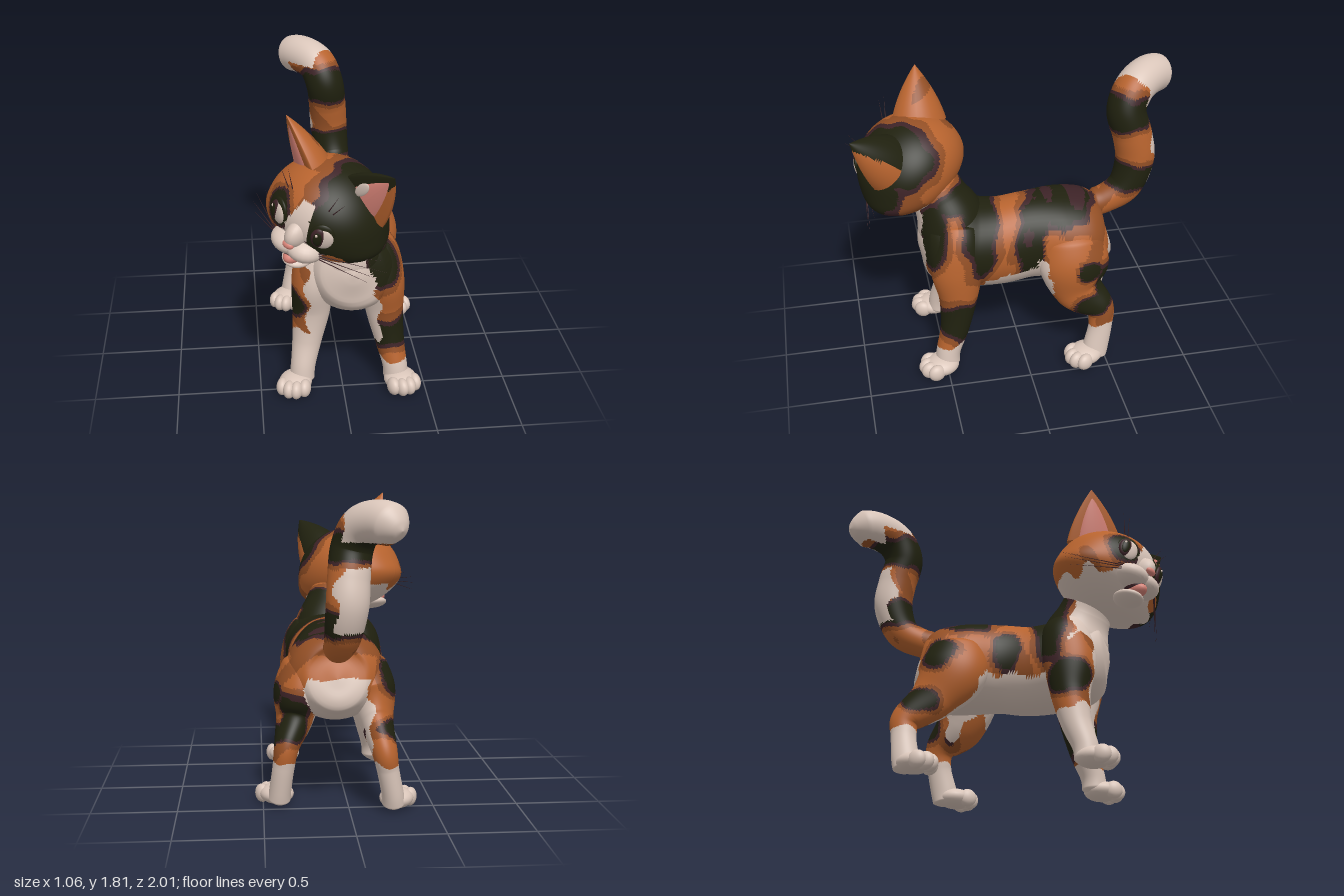
import * as THREE from 'three';

const V = (x, y, z) => new THREE.Vector3(x, y, z);
const mat = (name, color) => Object.assign(new THREE.MeshStandardMaterial({ color }), { name });

// Radius-style distance to the nearest ellipsoid patch [x, y, z, rx, ry, rz]
const patchField = (list, p) => Math.min(...list.map(([x, y, z, a, b, c]) =>
  Math.hypot((p.x - x) / a, (p.y - y) / b, (p.z - z) / c)));
const wobble = p => 0.02 * Math.sin(27 * p.y + 15 * p.z) + 0.015 * Math.sin(37 * p.z + 23 * p.x);

// Colour indices
const WHITE = 0, ORANGE = 1, RUST = 2, BLACK = 3, BROWN = 4;
const fur = (d, p) => {
  if (d < 1) return BLACK;
  if (d < 1.2) return BROWN;
  if (d < 1.48) return RUST;
  return Math.sin(11 * p.x + 9 * p.y) * Math.sin(13 * p.z + 5 * p.y) > 0.7 ? RUST : ORANGE;
};

// Dark patches on body, legs and tail, and brown marks inside them
const bodyPatches = [
  [0.23, 0.92, 0.56, 0.12, 0.2, 0.09], [0.1, 0.99, 0.27, 0.6, 0.29, 0.1], [0.1, 1.12, 0.38, 0.2, 0.07, 0.13],
  [0.29, 0.82, -0.03, 0.14, 0.19, 0.075], [0.07, 1.05, -0.27, 0.3, 0.15, 0.18],
  [0.2, 0.98, -0.08, 0.15, 0.1, 0.08], [0.42, 0.68, -0.38, 0.1, 0.06, 0.065],
  [0.4, 0.42, -0.4, 0.12, 0.07, 0.09], [0.34, 0.53, -0.5, 0.13, 0.13, 0.07],
  [0.3, 0.37, 0.42, 0.16, 0.13, 0.13], [-0.28, 0.57, 0.38, 0.1, 0.09, 0.13],
  [-0.26, 0.76, -0.4, 0.12, 0.09, 0.1], [-0.24, 0.46, -0.5, 0.12, 0.07, 0.1],
  [-0.17, 0.8, 0, 0.1, 0.12, 0.07], [0.05, 1.14, -0.7, 0.2, 0.08, 0.2],
  [0, 1.55, -0.68, 0.2, 0.1, 0.2],
];
const brownMarks = [[0.04, 1.02, -0.36, 0.19, 0.1, 0.06], [0.05, 1.06, -0.18, 0.12, 0.08, 0.035],
  [0.32, 0.9, -0.02, 0.06, 0.06, 0.03]];
function coat(p) {
  const { x, y, z } = p, w = wobble(p);
  const sock = z > 0 ? (x > 0 ? 0.2 : 0.38) : 0.28;
  const white = y + w < sock
    || (y + w < 0.64 && z > -0.16 && z < 0.24)
    || (y + 2 * w < 0.7 && x > 0.15 && x < 0.37 && z > -0.17 && z < -0.08)
    || (y + w < 0.6 && x > -0.19 && x < 0.2 && z > -0.45)
    || (z + w > 0.44 && x + w > -0.2 && x + w < 0.12 + Math.min(0.09, Math.max(0, 1 - y) * 0.25))
    || (x < 0 && y + w > 0.83 && z + w > 0.4 && z < 0.7)
    || (z < -0.3 && x + w > -0.12 && x + w < 0.23 && y + w < 0.78)
    || (z + w + 1.2 * x < -0.72 && y > (z < -0.77 ? 1.58 : 1.67))
    || (z + w + 0.6 * x < -0.77 && y > 1.08 && y < 1.44);
  if (white) return WHITE;
  const d = patchField(bodyPatches, p) + w * 5;
  return d < 1 && patchField(brownMarks, p) + w * 5 < 1 ? BROWN : fur(d, p);
}

// Patches on the head, in head space
const headPatches = [
  [0.25, 0.05, 0.14, 0.24, 0.26, 0.26], [0.19, 0.2, -0.02, 0.19, 0.2, 0.29],
  [-0.16, 0.04, 0.26, 0.09, 0.1, 0.1],
];
const cheekPatch = [[0.2, -0.12, 0.22, 0.07, 0.04, 0.1]];
function faceCoat(p) {
  const { x, y, z } = p, w = wobble(p), ax = Math.abs(x);
  const white = y + w < -0.17
    || (y + w < -0.04 && z > 0.1 && ax + w < 0.16)
    || (ax + w < 0.06 && z > 0.1 && y < 0.17);
  if (white) return WHITE;
  return patchField(cheekPatch, p) < 1 ? ORANGE : fur(patchField(headPatches, p) + w * 4, p);
}

// Sort triangles into one group per colour
function paint(geo, rule) {
  const idx = geo.index.array, pos = geo.attributes.position, buckets = [];
  const a = V(), b = V(), c = V();
  for (let i = 0; i < idx.length; i += 3) {
    [a, b, c].forEach((v, k) => v.fromBufferAttribute(pos, idx[i + k]));
    (buckets[rule(a.add(b).add(c).divideScalar(3))] ??= []).push(idx[i], idx[i + 1], idx[i + 2]);
  }
  geo.clearGroups();
  const all = [];
  buckets.forEach((list, m) => {
    geo.addGroup(all.length, list.length, m);
    for (const i of list) all.push(i);
  });
  geo.setIndex(all);
  return geo;
}

// Smooth rounded tube through stations [x, y, z, half width, half depth]
function loft(stations, ref, rings = 100, sides = 56) {
  const path = new THREE.CatmullRomCurve3(stations.map(s => V(s[0], s[1], s[2])), false, 'catmullrom');
  const size = new THREE.CatmullRomCurve3(stations.map(s => V(s[3], s[4], 0)), false, 'catmullrom');
  const pos = [], index = [];
  for (let i = 0; i <= rings; i++) {
    const t = i / rings, c = path.getPoint(t), r = size.getPoint(t), tan = path.getTangent(t);
    const side = ref.clone().cross(tan).normalize(), up = tan.clone().cross(side);
    const cap = Math.sqrt(Math.min(1, t * 14, (1 - t) * 14));
    for (let j = 0; j < sides; j++) {
      const q = j / sides * Math.PI * 2;
      const v = c.clone().addScaledVector(side, Math.cos(q) * r.x * cap).addScaledVector(up, Math.sin(q) * r.y * cap);
      pos.push(v.x, v.y, v.z);
      if (i === rings) continue;
      const k = i * sides, n = (j + 1) % sides;
      index.push(k + j, k + n, k + sides + j, k + n, k + sides + n, k + sides + j);
    }
  }
  const geo = new THREE.BufferGeometry();
  geo.setAttribute('position', new THREE.Float32BufferAttribute(pos, 3));
  geo.setIndex(index);
  geo.computeVertexNormals();
  return geo;
}

// Ear: a cone leaning outward, nearly flat in front, rounded behind, turned by yaw
function earGeometry(side, yaw, width, height, front, back) {
  const geo = new THREE.ConeGeometry(1, 1, 32, 28), pos = geo.attributes.position;
  const turn = new THREE.Matrix4().makeRotationY(yaw);
  for (let i = 0; i < pos.count; i++) {
    const t = pos.getY(i) + 0.5, bulge = 1 + 0.5 * t;
    const v = V(pos.getX(i) * width * bulge, 0, pos.getZ(i) * (pos.getZ(i) > 0 ? front : back) * bulge).applyMatrix4(turn);
    pos.setXYZ(i, side * (0.2 + 0.16 * t * height) + 0.87 * v.x,
      0.15 + 0.28 * t * height - 0.5 * side * v.x, v.z + 0.02 * t);
  }
  geo.computeVertexNormals();
  return geo;
}

export function createModel() {
  const model = new THREE.Group();
  model.name = 'cat';
  const white = mat('white fur', 0xdac6ba), orange = mat('orange fur', 0xb7632e), rust = mat('rust fur', 0x934f25);
  const black = mat('black fur', 0x20210f), brown = mat('dark brown', 0x3d2327), pink = mat('pink skin', 0xd98478);
  const furs = [white, orange, rust, black, brown];
  const add = (parent, name, geo, material) => {
    const m = new THREE.Mesh(geo, material);
    m.name = name;
    parent.add(m);
    return m;
  };
  const ball = (parent, name, material, [x, y, z], [a, b, c]) => {
    const m = add(parent, name, new THREE.SphereGeometry(1, 24, 16), material);
    m.position.set(x, y, z);
    m.scale.set(a, b, c);
    return m;
  };
  const X = V(1, 0, 0), Y = V(0, 1, 0), Z = V(0, 0, 1);
  const furred = (name, stations, ref) => add(model, name, paint(loft(stations, ref), coat), furs);

  // Trunk, neck and tail
  furred('body', [
    [0.07, 0.78, -0.56, 0.1, 0.12], [0.07, 0.77, -0.52, 0.2, 0.2], [0.07, 0.77, -0.42, 0.28, 0.26],
    [0.07, 0.78, -0.25, 0.29, 0.28], [0.08, 0.78, -0.05, 0.24, 0.28], [0.08, 0.76, 0.12, 0.25, 0.28],
    [0.07, 0.77, 0.28, 0.27, 0.28], [0.06, 0.8, 0.42, 0.28, 0.28], [0.05, 0.83, 0.54, 0.22, 0.22],
    [0.05, 0.84, 0.62, 0.12, 0.14]], Y);
  furred('neck', [[0.05, 0.72, 0.38, 0.25, 0.2], [0.04, 0.93, 0.41, 0.24, 0.21],
    [0.01, 1.08, 0.47, 0.19, 0.17], [-0.04, 1.22, 0.54, 0.17, 0.15]], Z);
  furred('tail', [
    [0.06, 0.94, -0.42, 0.09, 0.09], [0.06, 0.97, -0.55, 0.09, 0.09], [0.05, 1.05, -0.68, 0.105, 0.105],
    [0.03, 1.22, -0.74, 0.12, 0.12], [0.02, 1.38, -0.72, 0.12, 0.12], [0, 1.54, -0.68, 0.12, 0.12],
    [-0.05, 1.66, -0.74, 0.12, 0.12], [-0.15, 1.69, -0.86, 0.12, 0.12], [-0.24, 1.65, -0.99, 0.11, 0.11]], X);

  // Legs
  const foreleg = [[0.15, 0.99, 0.38, 0.1, 0.12], [0.21, 0.87, 0.39, 0.13, 0.15], [0.25, 0.7, 0.41, 0.125, 0.16],
    [0.26, 0.5, 0.41, 0.115, 0.12], [0.29, 0.3, 0.44, 0.09, 0.09], [0.32, 0.14, 0.49, 0.075, 0.075],
    [0.33, 0.02, 0.5, 0.08, 0.08]];
  furred('leftFrontLeg', foreleg, Z);
  furred('rightFrontLeg', foreleg.map(([x, y, z, a, b]) => [0.08 - x, y, z - 0.03, a, b]), Z);
  furred('leftBackLeg', [[0.21, 0.92, -0.3, 0.12, 0.16], [0.28, 0.68, -0.31, 0.15, 0.22], [0.31, 0.5, -0.34, 0.11, 0.16],
    [0.36, 0.37, -0.46, 0.075, 0.095], [0.38, 0.25, -0.47, 0.065, 0.075], [0.4, 0.1, -0.44, 0.065, 0.08],
    [0.41, 0.01, -0.42, 0.07, 0.08]], Z);
  furred('rightBackLeg', [[-0.07, 0.92, -0.31, 0.12, 0.16], [-0.14, 0.68, -0.32, 0.15, 0.21], [-0.17, 0.5, -0.43, 0.1, 0.15],
    [-0.2, 0.36, -0.58, 0.075, 0.095], [-0.22, 0.25, -0.59, 0.065, 0.075], [-0.25, 0.1, -0.57, 0.065, 0.08],
    [-0.26, 0.01, -0.55, 0.07, 0.08]], Z);

  // Paws with four toes
  for (const [name, x, z, yaw] of [['leftFrontPaw', 0.35, 0.54, 0.25], ['rightFrontPaw', -0.29, 0.51, -0.25],
    ['leftBackPaw', 0.42, -0.37, 0.45], ['rightBackPaw', -0.28, -0.51, -0.4]]) {
    const paw = new THREE.Group();
    paw.name = name;
    paw.position.set(x, 0, z);
    paw.rotation.y = yaw;
    model.add(paw);
    ball(paw, 'pawPad', white, [0, 0.06, 0], [0.1, 0.06, 0.11]);
    for (const k of [-1.5, -0.5, 0.5, 1.5])
      ball(paw, 'toe', white, [k * 0.045, 0.055, 0.09 - 0.014 * k * k], [0.038, 0.055, 0.055]);
  }

  // Head, turned to its right and tilted
  const head = new THREE.Group();
  head.name = 'head';
  const left = V(0.74, -0.28, 0.61).normalize(), front = left.clone().cross(V(0.128, 0.947, 0.281)).normalize();
  head.quaternion.setFromRotationMatrix(new THREE.Matrix4().makeBasis(left, front.clone().cross(left), front));
  head.position.set(-0.09, 1.3, 0.63);
  model.add(head);
  const skull = new THREE.SphereGeometry(1, 120, 84), sp = skull.attributes.position;
  for (let i = 0; i < sp.count; i++) {
    const y = sp.getY(i), cheek = 0.13 * Math.exp(-(((y + 0.5) / 0.32) ** 2));
    sp.setXYZ(i, sp.getX(i) * 0.33 * (1.05 - 0.13 * y + cheek), y * 0.268, sp.getZ(i) * 0.31);
  }
  skull.computeVertexNormals();
  add(head, 'skull', paint(skull, faceCoat), furs);

  // Muzzle, nose and open mouth
  ball(head, 'noseBridge', white, [0, -0.03, 0.275], [0.06, 0.085, 0.1]);
  for (const s of [-1, 1]) ball(head, 'muzzle', white, [s * 0.05, -0.11, 0.26], [0.11, 0.068, 0.11]);
  ball(head, 'nose', pink, [0, -0.06, 0.36], [0.035, 0.022, 0.022]);
  ball(head, 'mouth', brown, [0, -0.165, 0.27], [0.062, 0.045, 0.075]);
  ball(head, 'tongue', pink, [0, -0.18, 0.275], [0.05, 0.045, 0.085]);
  ball(head, 'chin', white, [0, -0.228, 0.235], [0.085, 0.035, 0.1]);

  // Eyes, ears and whiskers on both sides; the gaze is to the right
  for (const s of [-1, 1]) {
    const eye = new THREE.Group();
    eye.name = s > 0 ? 'leftEye' : 'rightEye';
    eye.position.set(s * 0.143, 0.03, 0.264);
    eye.rotation.y = s * 0.45;
    head.add(eye);
    ball(eye, 'eyeRim', black, [0, 0, 0], [0.072, 0.084, 0.024]);
    ball(eye, 'eyeWhite', white, [0.006, -0.004, 0.008], [0.058, 0.068, 0.024]);
    ball(eye, 'iris', brown, [-0.018, 0, 0.015], [0.043, 0.062, 0.022]);
    ball(eye, 'pupil', black, [-0.02, 0, 0.022], [0.031, 0.05, 0.018]);
    ball(eye, 'glint', white, [-0.03, 0.026, 0.034], [0.008, 0.01, 0.006]);

    const yaw = s > 0 ? 0 : -0.55;
    const earRule = p => s < 0 ? (p.y > 0.3 && p.z < -0.03 ? RUST : ORANGE)
      : p.x * 0.87 - p.y * 0.5 > 0.13 ? ORANGE : BLACK;
    add(head, s > 0 ? 'leftEar' : 'rightEar', paint(earGeometry(s, yaw, 0.17, 1, 0.025, 0.15), earRule), furs);
    add(head, 'innerEar', earGeometry(s, yaw, 0.115, 0.88, 0.042, 0.01), pink);
    ball(head, 'earTuft', white, [s * 0.2, 0.265, 0.045], [0.03, 0.06, 0.01]).rotation.z = -s * 0.5;

    // Drooping whiskers and short brow hairs
    const hairs = [-1.5, -0.5, 0.5, 1.5].map(k =>
      [V(s * 0.15, -0.1 + k * 0.012, 0.28), V(s * (0.47 - 0.02 * k * k), -0.18 + k * 0.04, 0.07 - k * 0.03)]);
    for (const k of [0, 1]) hairs.push([V(s * (0.12 + k * 0.03), 0.16, 0.21), V(s * (0.17 + k * 0.05), 0.3 - k * 0.02, 0.22)]);
    for (const [a, b] of hairs) {
      const hair = add(head, 'whisker', new THREE.ConeGeometry(0.0035, a.distanceTo(b), 5), brown);
      hair.position.copy(a).lerp(b, 0.5);
      hair.quaternion.setFromUnitVectors(Y, b.clone().sub(a).normalize());
    }
  }
  return model;
}
